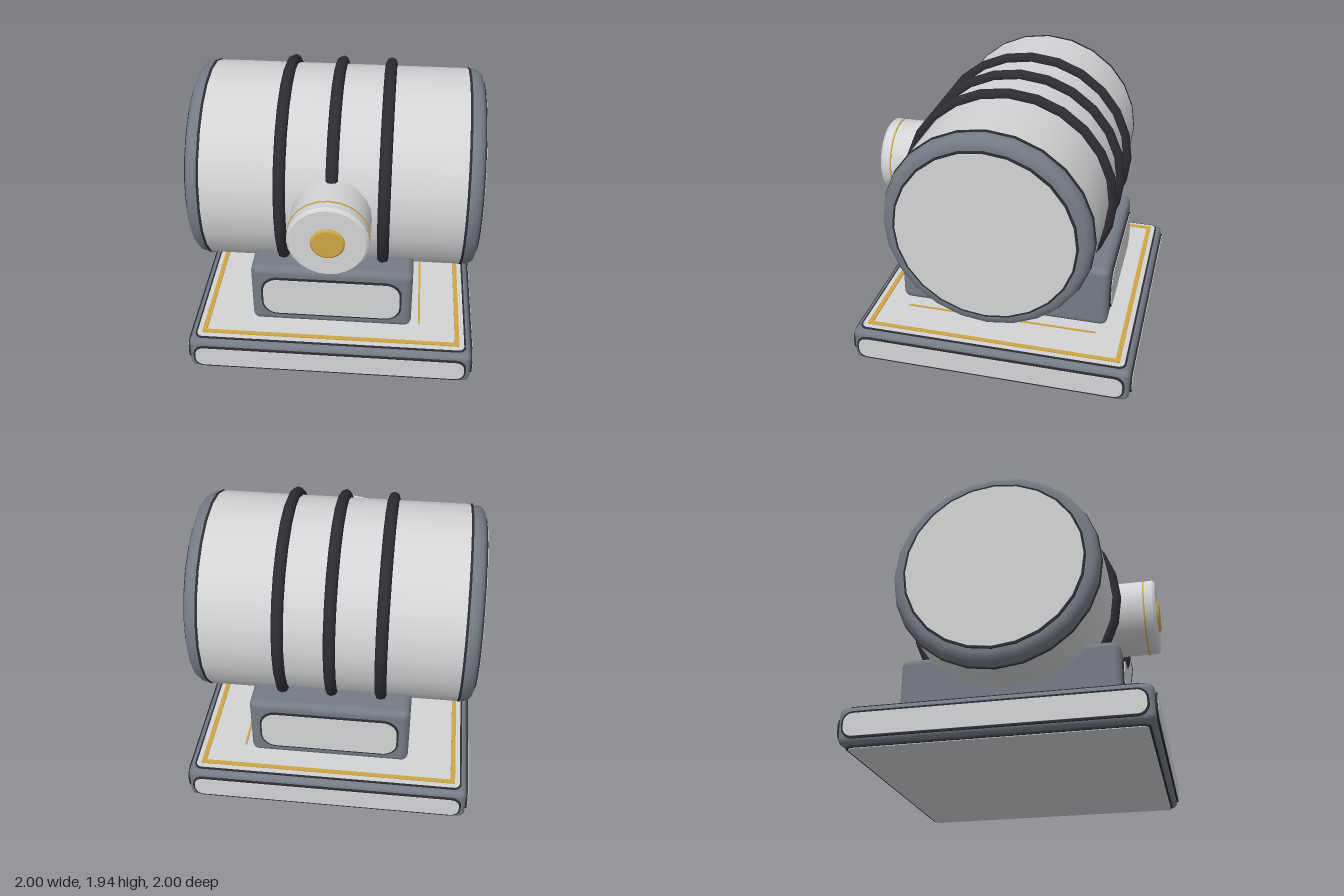
import * as THREE from 'three';
import { RoundedBoxGeometry } from 'three/addons/geometries/RoundedBoxGeometry.js';

const SEG = 24;
const AXIS_Y = 1.18; // height of the drum axis

function mat(name, color) {
  const m = new THREE.MeshStandardMaterial({ color });
  m.name = name;
  return m;
}

function roundedRect(w, h, r) {
  const s = new THREE.Shape();
  const x = w / 2, y = h / 2;
  s.moveTo(-x + r, -y);
  s.lineTo(x - r, -y);
  s.absarc(x - r, -y + r, r, -Math.PI / 2, 0);
  s.lineTo(x, y - r);
  s.absarc(x - r, y - r, r, 0, Math.PI / 2);
  s.lineTo(-x + r, y);
  s.absarc(-x + r, y - r, r, Math.PI / 2, Math.PI);
  s.lineTo(-x, -y + r);
  s.absarc(-x + r, -y + r, r, Math.PI, Math.PI * 1.5);
  return s;
}

export function createModel() {
  const root = new THREE.Group();
  root.name = 'drumOnPlinth';
  const light = mat('light grey', 0xd2d4d6);
  const slate = mat('slate grey', 0x757b85);
  const dark = mat('charcoal', 0x2d2d33);
  const gold = mat('gold', 0xcfa645);

  const add = (parent, name, geo, material, x = 0, y = 0, z = 0) => {
    const m = new THREE.Mesh(geo, material);
    m.name = name;
    m.position.set(x, y, z);
    parent.add(m);
    return m;
  };

  // Inset panel with a dark rim, facing local +z
  const panel = (name, w, h, r, pos, rx = 0, ry = 0) => {
    const g = new THREE.Group();
    g.name = name;
    const slab = (grow, depth) => new THREE.ExtrudeGeometry(
      roundedRect(w + grow, h + grow, r + grow / 2),
      { depth: depth + 0.01, bevelEnabled: false, curveSegments: 6 });
    add(g, name + 'Rim', slab(0.026, 0.011), dark, 0, 0, -0.01);
    add(g, name + 'Face', slab(0, 0.015), light, 0, 0, -0.01);
    g.position.set(...pos);
    g.rotation.set(rx, ry, 0);
    root.add(g);
  };

  // Base slab with panels on all six sides
  add(root, 'base', new RoundedBoxGeometry(1.97, 0.25, 1.97, 3, 0.045), slate, 0, 0.14, 0);
  for (let i = 0; i < 4; i++) {
    const a = i * Math.PI / 2;
    panel('baseSidePanel', 1.88, 0.15, 0.06,
      [Math.sin(a) * 0.985, 0.135, Math.cos(a) * 0.985], 0, a);
  }
  panel('baseTopPanel', 1.87, 1.87, 0.04, [0, 0.26, 0], -Math.PI / 2);
  panel('baseBottomPanel', 1.87, 1.87, 0.04, [0, 0.015, 0], Math.PI / 2);

  // Gold inlay frame and strip on the base top
  for (const s of [-1, 1]) {
    add(root, 'inlayFrame', new THREE.BoxGeometry(1.804, 0.008, 0.032), gold, 0, 0.278, s * 0.886);
    add(root, 'inlayFrame', new THREE.BoxGeometry(0.032, 0.008, 1.74), gold, s * 0.886, 0.278, 0);
  }
  add(root, 'inlayStrip', new THREE.BoxGeometry(0.014, 0.008, 1.38), gold, 0.62, 0.278, 0);

  // Cradle under the drum
  add(root, 'cradle', new RoundedBoxGeometry(1.12, 0.47, 1.51, 3, 0.05), slate, 0, 0.525, 0);
  panel('cradleFrontPanel', 0.95, 0.295, 0.1, [0, 0.525, 0.755]);
  panel('cradleBackPanel', 0.95, 0.295, 0.1, [0, 0.525, -0.755], 0, Math.PI);

  // Drum lying along x
  const drum = new THREE.Group();
  drum.name = 'drum';
  drum.position.y = AXIS_Y;
  root.add(drum);
  add(drum, 'drumShell', new THREE.CylinderGeometry(0.702, 0.702, 1.78, SEG, 1, true), light)
    .rotation.z = -Math.PI / 2;
  const rimProfile = [[0.69, 0.87], [0.698, 0.9], [0.698, 0.925], [0.687, 0.955],
    [0.665, 0.977], [0.635, 0.985], [0.59, 0.985]].map(p => new THREE.Vector2(...p));
  for (const s of [-1, 1]) {
    const end = new THREE.Group();
    end.name = 'drumEnd';
    end.rotation.z = -s * Math.PI / 2;
    drum.add(end);
    add(end, 'endRim', new THREE.LatheGeometry(rimProfile, SEG), slate);
    add(end, 'endSeam', new THREE.CylinderGeometry(0.706, 0.706, 0.016, SEG), dark, 0, 0.888, 0);
    add(end, 'endCapRim', new THREE.CylinderGeometry(0.612, 0.612, 0.03, SEG), dark, 0, 0.981, 0);
    add(end, 'endCap', new THREE.CylinderGeometry(0.597, 0.597, 0.03, SEG), light, 0, 0.985, 0);
  }

  // Three bands around the drum
  for (const x of [-0.345, 0, 0.345]) {
    add(drum, 'band', new THREE.TorusGeometry(0.718, 0.041, 8, SEG), dark, x)
      .rotation.y = Math.PI / 2;
  }

  // Round knob on the front
  const knob = new THREE.Group();
  knob.name = 'frontKnob';
  knob.position.y = AXIS_Y;
  knob.rotation.x = Math.PI / 2;
  root.add(knob);
  const disc = (name, rTop, rBottom, from, to, m) => add(knob, name,
    new THREE.CylinderGeometry(rTop, rBottom, to - from, SEG), m, 0, (from + to) / 2, 0);
  disc('knobBody', 0.268, 0.268, 0.62, 0.967, light);
  disc('knobBevel', 0.25, 0.268, 0.967, 0.985, light);
  disc('knobTrim', 0.273, 0.273, 0.9, 0.91, gold);
  disc('knobButton', 0.113, 0.113, 0.95, 0.99, gold);
  disc('knobButtonBevel', 0.1, 0.113, 0.99, 1.0, gold);

  return root;
}
